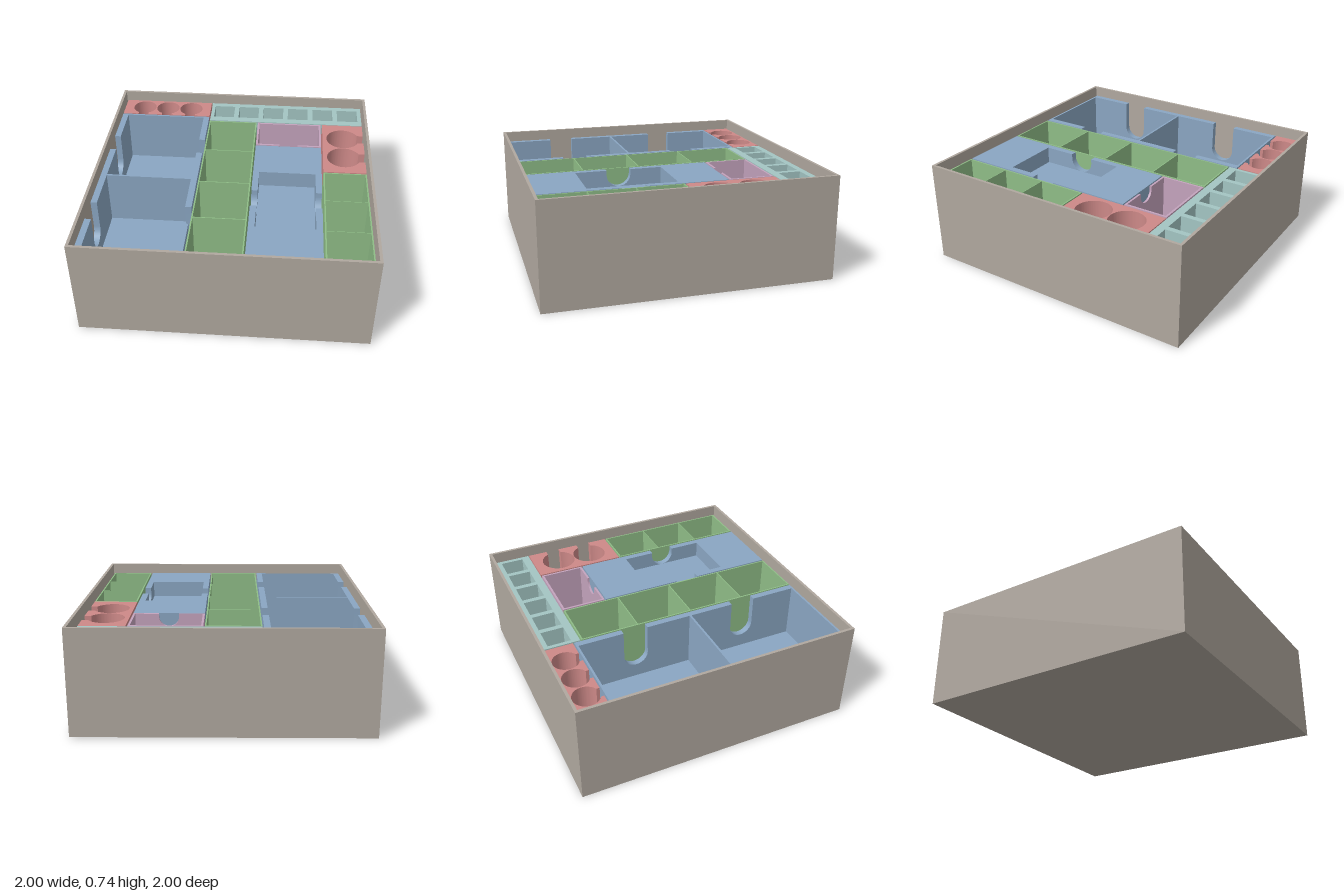
import * as THREE from 'three';
import { toCreasedNormals } from 'three/addons/utils/BufferGeometryUtils.js';

const BASE = 0.02, TOP = 0.66;

const mat = (name, color) => {
  const m = new THREE.MeshStandardMaterial({ color });
  m.name = name;
  return m;
};

export function createModel() {
  const cardboard = mat('warm grey cardboard', 0xb0a89f);
  const blue = mat('blue plastic', 0x8aa6c2);
  const green = mat('green plastic', 0x8fbd87);
  const red = mat('red plastic', 0xcd8988);
  const teal = mat('teal plastic', 0xa3c5c3);
  const pink = mat('pink plastic', 0xc4a3bd);

  const model = new THREE.Group();
  model.name = 'boxWithTrays';

  const group = (name) => {
    const g = new THREE.Group();
    g.name = name;
    model.add(g);
    return g;
  };
  const add = (parent, name, geo, material) => {
    const mesh = new THREE.Mesh(geo, material);
    mesh.name = name;
    parent.add(mesh);
    return mesh;
  };
  const box = (parent, name, material, x0, x1, y0, y1, z0, z1) => {
    const geo = new THREE.BoxGeometry(x1 - x0, y1 - y0, z1 - z0);
    geo.translate((x0 + x1) / 2, (y0 + y1) / 2, (z0 + z1) / 2);
    return add(parent, name, geo, material);
  };
  const rect = (P, [x0, x1, z0, z1]) => new P().moveTo(x0, z0).lineTo(x1, z0).lineTo(x1, z1).lineTo(x0, z1).closePath();

  // plan shape (x, z) raised from y0 to y1
  const raise = (shape, y0, y1) => {
    const geo = new THREE.ExtrudeGeometry(shape, { depth: y1 - y0, bevelEnabled: false, curveSegments: 48 });
    geo.rotateX(Math.PI / 2).translate(0, y1, 0);
    return toCreasedNormals(geo, 0.5);
  };
  const pocketBlock = (parent, name, material, outline, pockets, y0, y1) => {
    const shape = rect(THREE.Shape, outline);
    pockets.forEach((p) => shape.holes.push(rect(THREE.Path, p)));
    return add(parent, name, raise(shape, y0, y1), material);
  };

  // upright wall with round-bottomed finger notches, [centre, radius, bottom]
  const notchedWall = (u0, u1, notches, thickness) => {
    const s = new THREE.Shape().moveTo(u0, BASE).lineTo(u1, BASE).lineTo(u1, TOP);
    [...notches].reverse().forEach(([c, r, bottom]) => {
      s.lineTo(c + r, TOP).lineTo(c + r, bottom + r);
      s.absarc(c, bottom + r, r, 0, -Math.PI, true);
      s.lineTo(c - r, TOP);
    });
    s.lineTo(u0, TOP).closePath();
    return toCreasedNormals(new THREE.ExtrudeGeometry(s, { depth: thickness, bevelEnabled: false, curveSegments: 24 }), 0.5);
  };

  // card tray: notched side walls with cross walls and raised floor between
  const cardTray = (name, [x0, x1, z0, z1], wall, crossWalls, floor, notches) => {
    const g = group(name);
    // the wall outline runs along -z after the turn, so notches are mirrored
    const mirrored = notches.map(([c, r, b]) => [-c, r, b]).reverse();
    [x0, x1 - wall].forEach((x) => {
      const geo = notchedWall(-z1, -z0, mirrored, wall);
      geo.rotateY(Math.PI / 2).translate(x, 0, 0);
      add(g, 'notchedSideWall', geo, blue);
    });
    box(g, 'trayFloor', blue, x0 + wall, x1 - wall, BASE, floor, z0, z1);
    crossWalls.forEach(([a, b]) => box(g, 'crossWall', blue, x0 + wall, x1 - wall, floor, TOP, a, b));
  };

  // bowl with rounded foot, made of nested rectangles
  const bowl = ([x0, x1, z0, z1], floor, r) => {
    const pos = [], idx = [], steps = 10;
    for (let i = 0; i <= steps; i++) {
      const t = (i / steps) * Math.PI / 2;
      const d = r * (1 - Math.cos(t)), y = floor + r * (1 - Math.sin(t));
      pos.push(x0 + d, y, z0 + d, x1 - d, y, z0 + d, x1 - d, y, z1 - d, x0 + d, y, z1 - d);
      if (i === steps) break;
      for (let k = 0; k < 4; k++) {
        const a = i * 4 + k, b = i * 4 + ((k + 1) % 4);
        idx.push(a, a + 4, b, b, a + 4, b + 4);
      }
    }
    const n = steps * 4;
    idx.push(n, n + 2, n + 1, n, n + 3, n + 2);
    const geo = new THREE.BufferGeometry();
    geo.setAttribute('position', new THREE.Float32BufferAttribute(pos, 3));
    geo.setIndex(idx);
    return toCreasedNormals(geo, 0.5);
  };
  const scoopTray = (name, outline, pockets) => {
    const g = group(name), floor = 0.06, r = 0.07;
    pocketBlock(g, 'trayWalls', green, outline, pockets, floor + r, TOP);
    pocketBlock(g, 'trayFoot', green, outline, pockets, BASE, floor + r);
    pockets.forEach((p) => add(g, 'scoopedPocket', bowl(p, floor, r), green));
  };

  // token tray: round cups, each opened by a slot on the v1 edge
  const cupTray = (name, [u0, u1, v0, v1], cups, cv, r, half) => {
    const g = group(name), floor = 0.2, slot = 0.3;
    const lower = rect(THREE.Shape, [u0, u1, v0, v1]);
    cups.forEach((c) => lower.holes.push(new THREE.Path().absarc(c, cv, r, 0, Math.PI * 2, false)));
    const upper = new THREE.Shape().moveTo(u0, v0).lineTo(u1, v0).lineTo(u1, v1);
    const a = Math.acos(half / r);
    [...cups].sort((p, q) => q - p).forEach((c) => {
      upper.lineTo(c + half, v1).lineTo(c + half, cv + r * Math.sin(a));
      upper.absarc(c, cv, r, a, Math.PI - a, true);
      upper.lineTo(c - half, v1);
    });
    upper.lineTo(u0, v1).closePath();
    box(g, 'trayFloor', red, u0, u1, BASE, floor, v0, v1);
    add(g, 'closedCups', raise(lower, floor, slot), red);
    add(g, 'slottedCups', raise(upper, slot, TOP), red);
    return g;
  };

  // outer box
  const outer = group('outerBox');
  pocketBlock(outer, 'boxWalls', cardboard, [-1, 1, -1, 1], [[-0.98, 0.98, -0.98, 0.98]], 0, 0.735);
  box(outer, 'boxFloor', cardboard, -0.98, 0.98, 0, BASE, -0.98, 0.98);

  // blue card trays
  cardTray('largeCardTray', [-0.97, -0.262, -0.75, 0.965], 0.045,
    [[-0.75, -0.735], [0.1, 0.115], [0.95, 0.965]], 0.26,
    [[-0.317, 0.09, 0.36], [0.532, 0.09, 0.36]]);
  cardTray('smallCardTray', [0.138, 0.64, -0.362, 0.965], 0.045,
    [[-0.362, -0.012], [0.615, 0.965]], 0.54, [[0.302, 0.087, 0.54]]);

  // green scoop trays
  scoopTray('longScoopTray', [-0.252, 0.128, -0.692, 0.965],
    [0, 1, 2, 3].map((i) => [-0.242, 0.118, -0.682 + i * 0.411, -0.278 + i * 0.411]));
  scoopTray('shortScoopTray', [0.652, 0.968, -0.04, 0.965],
    [0, 1, 2].map((i) => [0.662, 0.958, -0.03 + i * 0.329, 0.297 + i * 0.329 - 0.002]));

  // red token trays
  cupTray('threeCupTray', [-0.97, -0.262, -0.97, -0.76], [-0.807, -0.615, -0.423], -0.865, 0.092, 0.04);
  cupTray('twoCupTray', [0.05, 0.695, 0.652, 0.968], [0.245, 0.5], 0.808, 0.125, 0.052).rotation.y = Math.PI / 2;

  // teal tray with six square pockets
  const cubeTray = group('squarePocketTray');
  const squares = [0, 1, 2, 3, 4, 5].map((i) => [-0.225 + i * 0.2, -0.063 + i * 0.2, -0.925, -0.76]);
  pocketBlock(cubeTray, 'squarePockets', teal, [-0.252, 0.968, -0.97, -0.702], squares, 0.3, TOP);
  box(cubeTray, 'trayFloor', teal, -0.252, 0.968, BASE, 0.3, -0.97, -0.702);

  // pink tray with a finger notch at the front
  const pinkTray = group('notchedTray');
  const [px0, px1, pz0, pz1, w] = [0.138, 0.64, -0.692, -0.372, 0.015];
  box(pinkTray, 'trayFloor', pink, px0, px1, BASE, 0.3, pz0, pz1 - w);
  box(pinkTray, 'backWall', pink, px0, px1, 0.3, TOP, pz0, pz0 + w);
  [px0, px1 - w].forEach((x) => box(pinkTray, 'sideWall', pink, x, x + w, 0.3, TOP, pz0 + w, pz1 - w));
  add(pinkTray, 'notchedFrontWall', notchedWall(px0, px1, [[0.389, 0.07, 0.57]], w).translate(0, 0, pz1 - w), pink);

  return model;
}
